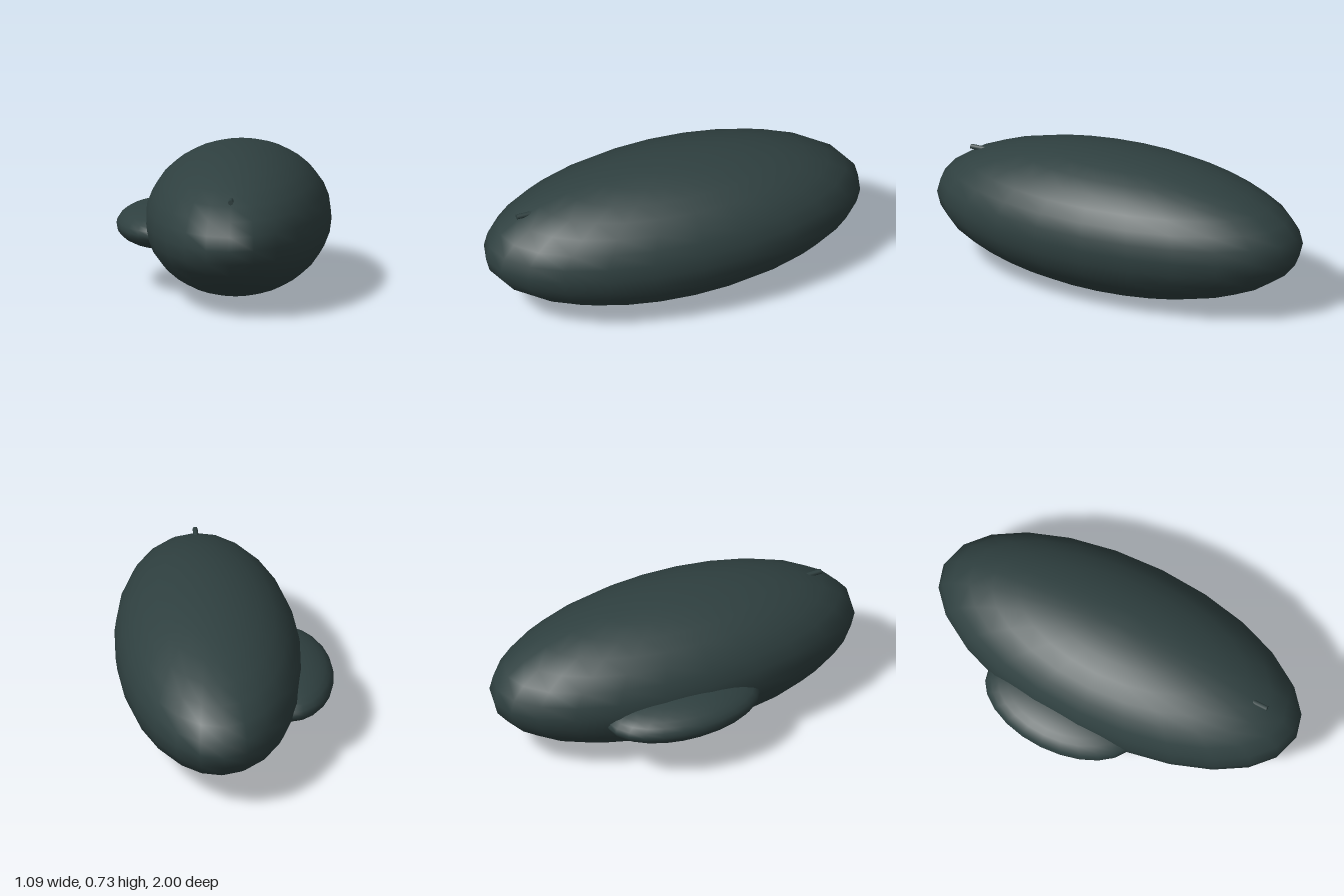
import * as THREE from 'three';

export function createModel() {
  const model = new THREE.Group();
  const darkSlate = new THREE.MeshStandardMaterial({ color: 0x2f4040 });
  darkSlate.name = 'darkSlate';

  const add = (name, geometry, x, y, z) => {
    const mesh = new THREE.Mesh(geometry, darkSlate);
    mesh.name = name;
    mesh.position.set(x, y, z);
    model.add(mesh);
    return mesh;
  };

  // Smooth ellipsoid from its three radii
  const ellipsoid = (rx, ry, rz) => new THREE.SphereGeometry(1, 24, 16).scale(rx, ry, rz);

  // Long rounded shell
  add('body', ellipsoid(0.468, 0.364, 1), 0.075, 0.364, 0);

  // Flattened bulge on the right flank
  add('sideBulge', ellipsoid(0.245, 0.113, 0.42), -0.3, 0.309, -0.13);

  // Small round peg, half sunk into the upper front
  const peg = add('peg', new THREE.CylinderGeometry(0.013, 0.013, 0.12, 8), 0.073, 0.587, 0.776);
  peg.rotation.x = Math.PI / 2;

  return model;
}
